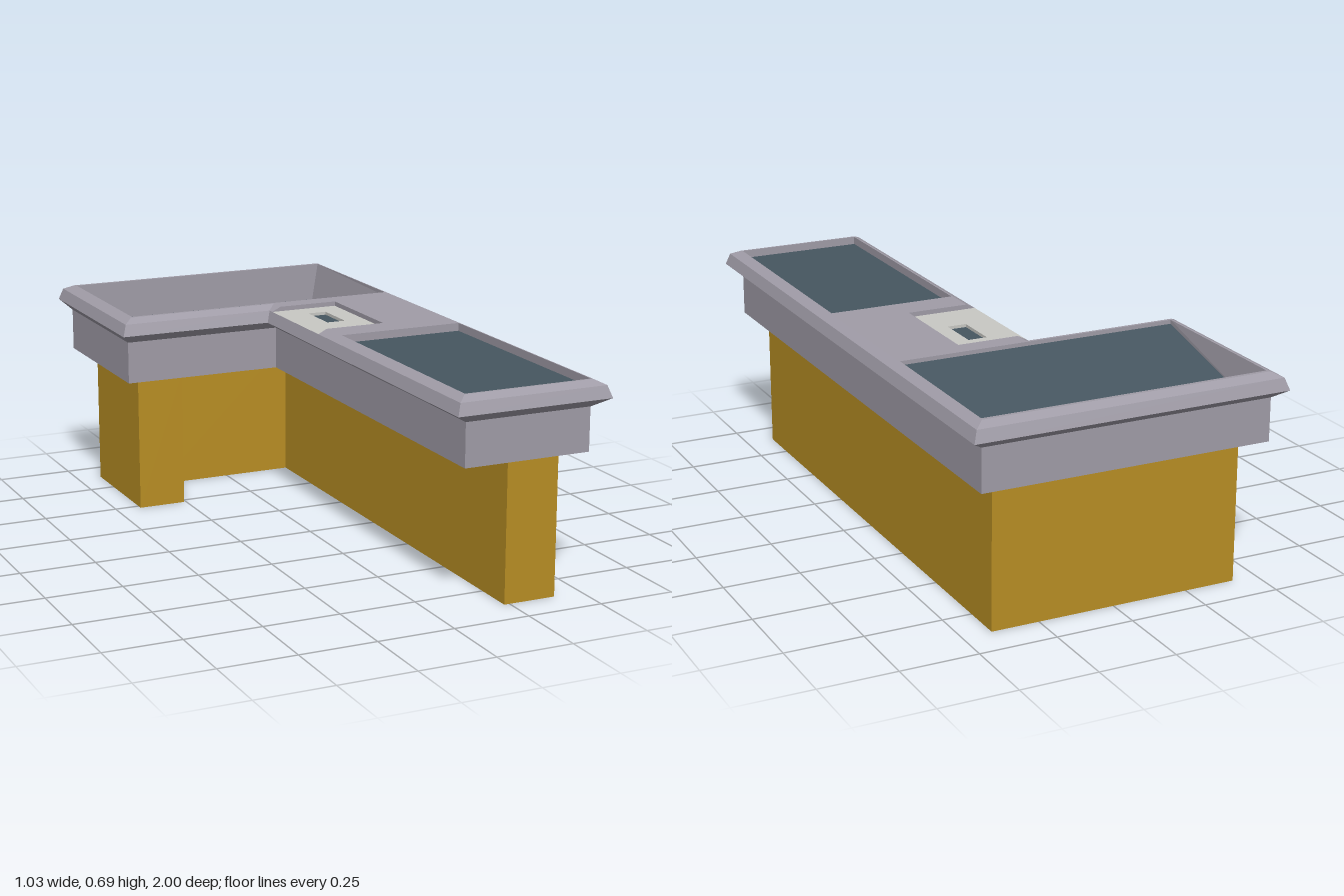
import * as THREE from 'three';

const mat = (name, color) => {
  const m = new THREE.MeshStandardMaterial({ color, side: THREE.DoubleSide });
  m.name = name;
  return m;
};

// Walls between a lower and an upper path of [x, y, z] points; skip leaves one side open
function loft(lower, upper, closed = true, skip = -1) {
  const v = [];
  const n = lower.length;
  for (let i = 0; i < (closed ? n : n - 1); i++) {
    if (i === skip) continue;
    const j = (i + 1) % n;
    v.push(...lower[i], ...upper[i], ...lower[j], ...lower[j], ...upper[i], ...upper[j]);
  }
  const g = new THREE.BufferGeometry();
  g.setAttribute('position', new THREE.Float32BufferAttribute(v, 3));
  g.computeVertexNormals();
  return g;
}

// Horizontal sheet from [x, z] outlines, with optional holes
function sheet(outline, y, holes = []) {
  const toV2 = (pts) => pts.map(([x, z]) => new THREE.Vector2(x, -z));
  const shape = new THREE.Shape(toV2(outline));
  for (const h of holes) shape.holes.push(new THREE.Path(toV2(h)));
  return new THREE.ShapeGeometry(shape).rotateX(-Math.PI / 2).translate(0, y, 0);
}

const at = (pts, y) => pts.map(([x, z]) => [x, y, z]);
const rect = (x0, x1, z0, z1) => [[x0, z0], [x1, z0], [x1, z1], [x0, z1]];

// Notch in the inner edge of the counter, for the reader plate
const NOTCH_BACK = -0.33, NOTCH_FRONT = 0.035, NOTCH_X = 0.245;

// L-shaped outline: left, right, arm inner edge, inner corner z, half length
const outline = (l, r, a, f, h) => [
  [l, -h], [r, -h], [r, h], [a, h], [a, NOTCH_FRONT], [a, NOTCH_BACK], [a, f], [l, f],
];

export function createModel() {
  const model = new THREE.Group();
  const yellow = mat('yellow base', 0xb88e24);
  const grey = mat('grey counter', 0xa09ca7);
  const slate = mat('slate surface', 0x465660);
  const silver = mat('silver plate', 0xc8c8c4);

  const add = (name, geometry, material) => {
    const mesh = new THREE.Mesh(geometry, material);
    mesh.name = name;
    model.add(mesh);
  };

  // Open-bottomed base running along the back and the arm, with a short return
  const base = [
    [-0.417, -0.885], [0.405, -0.885], [0.405, 0.885], [0.232, 0.885],
    [0.232, -0.712], [-0.257, -0.712], [-0.257, -0.479], [-0.417, -0.479],
  ];
  add('base', loft(at(base, 0), at(base, 0.466)), yellow);

  // Counter body and its flared, bevelled edge
  const body = outline(-0.482, 0.47, 0.052, -0.39, 0.95);
  const flare = outline(-0.515, 0.515, 0, -0.34, 1);
  const shoulder = outline(-0.502, 0.502, 0.013, -0.353, 0.987);
  const crest = outline(-0.472, 0.472, 0.042, -0.385, 0.957);
  add('counterUnderside', sheet(body, 0.466), grey);
  add('counterBody', loft(at(body, 0.466), at(body, 0.605)), grey);
  add('edgeUnderside', loft(at(body, 0.605), at(flare, 0.637)), grey);
  add('edgeSide', loft(at(flare, 0.637), at(shoulder, 0.675)), grey);
  add('edgeBevel', loft(at(shoulder, 0.675), at(crest, 0.69), true, 4), grey);

  // Top with openings for the two trays and the notch
  const backTray = rect(-0.465, 0.468, -0.945, -0.395);
  const armTray = rect(0.047, 0.468, 0.138, 0.95);
  const top = [...crest];
  top.splice(5, 0, [NOTCH_X, NOTCH_FRONT], [NOTCH_X, NOTCH_BACK]);
  add('counterTop', sheet(top, 0.69, [backTray, armTray]), grey);

  // Back tray, its floor sloping down towards the back
  const backFloor = [
    [-0.448, 0.56, -0.943], [0.445, 0.56, -0.943],
    [0.468, 0.677, -0.395], [-0.465, 0.677, -0.395],
  ];
  add('backTrayWalls', loft(at(backTray, 0.69).reverse(), [...backFloor].reverse()), grey);
  add('backTrayFloor', loft([backFloor[3], backFloor[2]], [backFloor[0], backFloor[1]], false)
    , slate);

  // Shallow tray on the arm
  add('armTrayWalls', loft(at(armTray, 0.69).reverse(), at(armTray, 0.664).reverse()), grey);
  add('armTrayFloor', sheet(armTray, 0.664), slate);

  // Notch walls, plate and sunken screen
  const notch = (x, y) => at([[x, NOTCH_FRONT], [NOTCH_X, NOTCH_FRONT],
    [NOTCH_X, NOTCH_BACK], [x, NOTCH_BACK]], y);
  add('notchWalls', loft(notch(0.013, 0.675), notch(0.042, 0.69), false), grey);
  const screen = rect(0.113, 0.176, -0.258, -0.108);
  add('readerPlate', sheet(rect(0.013, NOTCH_X, NOTCH_BACK, NOTCH_FRONT), 0.675, [screen]), silver);
  add('screenWalls', loft(at(screen, 0.675), at(screen, 0.665)), silver);
  add('screen', sheet(screen, 0.665), slate);

  return model;
}
